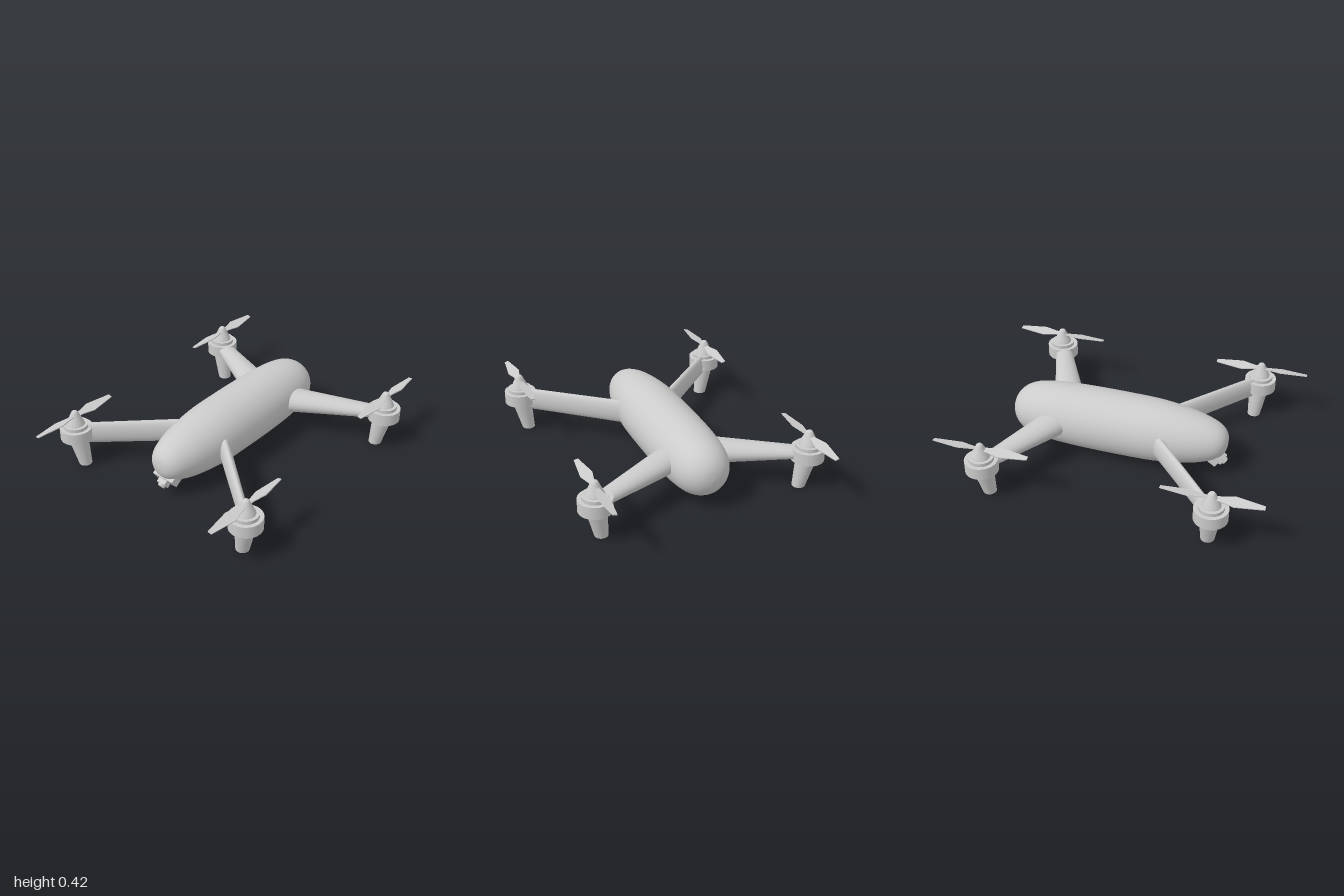
import * as THREE from 'three';

const mat = new THREE.MeshStandardMaterial({ color: 0xcccccc });
const lerp = THREE.MathUtils.lerp;
const bodyX = -0.025;

function part(name, geometry, parent, x = 0, y = 0, z = 0) {
  const mesh = new THREE.Mesh(geometry, mat);
  mesh.name = name;
  mesh.position.set(x, y, z);
  parent.add(mesh);
  return mesh;
}

// Move every vertex by a rule
function reshape(geometry, rule) {
  const pos = geometry.attributes.position;
  const v = new THREE.Vector3();
  for (let i = 0; i < pos.count; i++) {
    rule(v.fromBufferAttribute(pos, i));
    pos.setXYZ(i, v.x, v.y, v.z);
  }
  geometry.computeVertexNormals();
  return geometry;
}

function smoothLathe(points, steps, segments) {
  const curve = new THREE.SplineCurve(points.map(([r, y]) => new THREE.Vector2(r, y)));
  const pts = curve.getPoints(steps);
  pts.forEach((p) => { p.x = Math.max(p.x, 0); });
  return new THREE.LatheGeometry(pts, segments);
}

// Tapering elliptical arm; w and h are the half sizes at its start and end
function armGeometry(from, to, w, h) {
  const dir = to.clone().sub(from);
  const length = dir.length();
  dir.normalize();
  const side = dir.clone().cross(new THREE.Vector3(0, 1, 0)).normalize();
  const up = side.clone().cross(dir);
  const geo = reshape(new THREE.CylinderGeometry(1, 1, 1, 40), (v) => {
    const t = v.y + 0.5;
    v.set(v.x * lerp(w[0], w[1], t), t * length, v.z * lerp(h[0], h[1], t));
  });
  return geo.applyMatrix4(new THREE.Matrix4().makeBasis(side, dir, up).setPosition(from));
}

function bladeGeometry(pitch) {
  const outline = [[0.016, 0.02], [0.018, 0.05], [0.037, 0.13], [0.013, 0.3],
    [-0.013, 0.3], [-0.037, 0.13], [-0.018, 0.05], [-0.016, 0.02]];
  const shape = new THREE.Shape(outline.map(([x, y]) => new THREE.Vector2(x, y)));
  const geo = new THREE.ExtrudeGeometry(shape, { depth: 0.006, bevelEnabled: false });
  return geo.translate(0, 0, -0.003).rotateX(Math.PI / 2).rotateZ(pitch);
}

// Motor pod with spinner, two-bladed propeller and landing leg
function makeRotor(sx, sz) {
  const rotor = new THREE.Group();
  rotor.name = 'rotor';
  part('motorRing', new THREE.CylinderGeometry(0.101, 0.101, 0.077, 40), rotor, 0, 0.2285, 0);
  part('motorCollar', new THREE.CylinderGeometry(0.077, 0.077, 0.03, 40), rotor, 0, 0.274, 0);
  part('spinner', smoothLathe([[0.058, 0.28], [0.055, 0.296], [0.034, 0.342],
    [0.02, 0.372], [0.01, 0.38], [0, 0.382]], 20, 32), rotor);

  const propeller = new THREE.Group();
  propeller.name = 'propeller';
  propeller.position.y = 0.343;
  for (const turn of [0, Math.PI]) {
    part('blade', bladeGeometry(-sx * 0.22), propeller).rotation.y = turn;
  }
  rotor.add(propeller);

  // Leg leans slightly towards the body
  const leg = reshape(new THREE.CylinderGeometry(0.064, 0.041, 0.2, 32), (v) => {
    const drop = 0.5 - v.y / 0.2;
    v.x -= sx * lerp(0.004, 0.036, drop);
    v.z -= sz * lerp(0.004, 0.018, drop);
  });
  part('leg', leg, rotor, 0, 0.1, 0);
  rotor.position.set(sx * 0.676, 0, sz * 0.7);
  return rotor;
}

// Tilted camera under the nose
function makeCamera() {
  const camera = new THREE.Group();
  camera.name = 'camera';
  part('cameraBracket', new THREE.BoxGeometry(0.155, 0.065, 0.06), camera);
  part('lensHousing', new THREE.BoxGeometry(0.062, 0.05, 0.04), camera, 0, -0.005, 0.04);
  part('lens', new THREE.CylinderGeometry(0.023, 0.026, 0.025, 8).rotateX(Math.PI / 2),
    camera, 0, -0.005, 0.062);
  camera.position.set(bodyX, 0.128, 0.58);
  camera.rotation.x = 0.6;
  return camera;
}

export function createModel() {
  const model = new THREE.Group();
  model.name = 'quadcopter';

  // Rounded body, turned about its long axis
  const profile = [[0, -0.75], [0.06, -0.74], [0.115, -0.705], [0.155, -0.645], [0.178, -0.56],
    [0.193, -0.42], [0.199, -0.22], [0.199, 0], [0.194, 0.2], [0.172, 0.38],
    [0.145, 0.5], [0.108, 0.59], [0.06, 0.635], [0, 0.647]];
  part('body', smoothLathe(profile, 64, 56).rotateX(Math.PI / 2), model, bodyX, 0.224, 0);

  for (const sx of [-1, 1]) {
    const rootX = bodyX + sx * 0.1;
    part('frontArm', armGeometry(new THREE.Vector3(rootX, 0.218, 0.19),
      new THREE.Vector3(sx * 0.655, 0.218, 0.68), [0.036, 0.027], [0.078, 0.073]), model);
    part('rearArm', armGeometry(new THREE.Vector3(rootX, 0.23, -0.42),
      new THREE.Vector3(sx * 0.66, 0.23, -0.69), [0.1, 0.052], [0.078, 0.034]), model);
    for (const sz of [-1, 1]) model.add(makeRotor(sx, sz));
  }

  model.add(makeCamera());
  return model;
}
